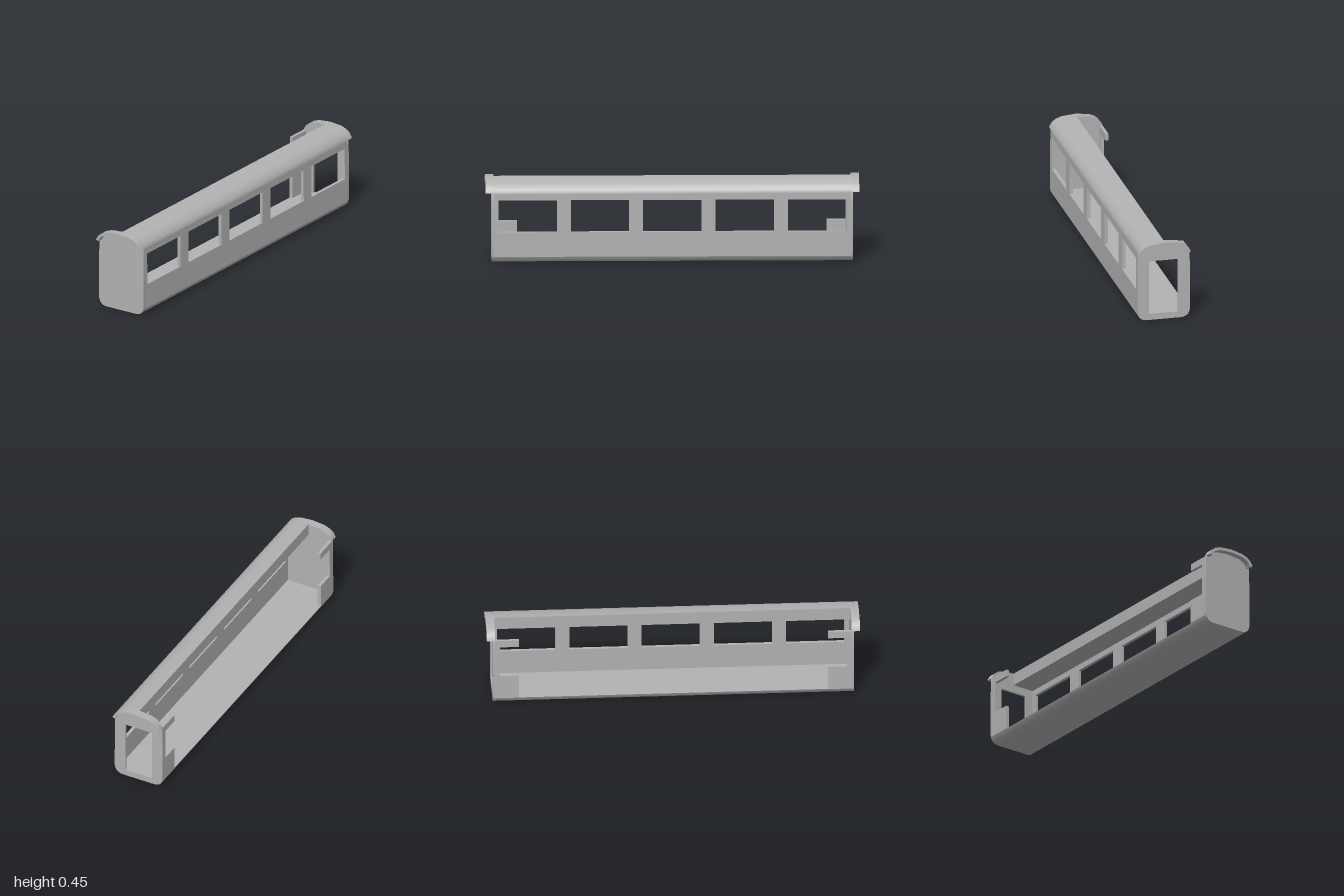
import * as THREE from 'three';
import { toCreasedNormals } from 'three/addons/utils/BufferGeometryUtils.js';

const END = 0.967, INNER = 0.955;      // outer and inner faces of the end walls
const FLOOR = 0.035, CEILING = 0.378;
const WALL = 0.02;

// Half profiles, listed from the side towards the centre line
const roofOuter = [[0.142, 0.384], [0.136, 0.398], [0.124, 0.414], [0.106, 0.428], [0.073, 0.44], [0, 0.447]];
const roofInner = [[0.125, 0.38], [0.118, 0.395], [0.104, 0.41], [0.073, 0.423], [0, 0.43]];
const bottomHalf = [[0.1, 0], [0.119, 0.005], [0.134, 0.016], [0.143, FLOOR]];

const mirror = (pts) => pts.map(([x, y]) => [-x, y]);
const arch = (half) => [...half, ...mirror(half.slice(0, -1)).reverse()];   // +x side over to -x
const makeShape = (pts) => new THREE.Shape(pts.map(([x, y]) => new THREE.Vector2(x, y)));

function rectHole(x0, x1, y0, y1) {
  const p = new THREE.Path();
  p.moveTo(x0, y0);
  p.lineTo(x0, y1);
  p.lineTo(x1, y1);
  p.lineTo(x1, y0);
  p.closePath();
  return p;
}

export function createModel() {
  const group = new THREE.Group();
  const grey = new THREE.MeshStandardMaterial({ color: 0xb2b2b2 });
  grey.name = 'bodyGrey';

  const add = (name, geometry) => {
    const mesh = new THREE.Mesh(toCreasedNormals(geometry, 0.6), grey);
    mesh.name = name;
    group.add(mesh);
  };
  const extrudeZ = (shape, z0, z1) => {
    const g = new THREE.ExtrudeGeometry(shape, { depth: z1 - z0, bevelEnabled: false });
    return g.translate(0, 0, z0);
  };
  // Side wall drawn in (z, y), its outer face leaning in slightly towards the top
  const sideWall = (shape, side) => {
    const g = new THREE.ExtrudeGeometry(shape, { depth: WALL, bevelEnabled: false });
    g.rotateY(Math.PI / 2);
    if (side < 0) g.translate(-WALL, 0, 0);
    const p = g.attributes.position;
    for (let i = 0; i < p.count; i++) {
      const outer = Math.abs(p.getX(i)) > WALL / 2;
      const lean = 0.145 - 0.003 * (p.getY(i) - FLOOR) / (CEILING - FLOOR);
      p.setX(i, side * (outer ? lean : 0.125));
    }
    return g;
  };

  // Floor with rounded lower edges
  add('floor', extrudeZ(makeShape([...bottomHalf, ...mirror(bottomHalf).reverse()]), -INNER, INNER));

  // Windowed side
  const wall = makeShape([[-INNER, FLOOR], [INNER, FLOOR], [INNER, 0.384], [-INNER, 0.384]]);
  for (let i = -2; i <= 2; i++) {
    const c = i * 0.387;
    wall.holes.push(rectHole(c - 0.156, c + 0.156, 0.17, 0.345));
  }
  add('windowWall', sideWall(wall, 1));

  // Cut-away side: a stub of wall around the first window at each end
  for (const s of [-1, 1]) {
    const pts = [[INNER, FLOOR], [INNER, 0.384], [0.828, 0.384], [0.828, 0.345],
      [0.93, 0.345], [0.93, 0.17], [0.828, 0.17], [0.828, FLOOR]];
    add(s < 0 ? 'frontWallStub' : 'backWallStub', sideWall(makeShape(pts.map(([z, y]) => [s * z, y])), -1));
  }

  // Half roof with flat ceiling
  add('roof', extrudeZ(makeShape([[0, CEILING], [0.142, CEILING], ...roofOuter]), -INNER, INNER));

  // End walls, the back one with a doorway
  const outline = [...bottomHalf, [0.145, 0.05], [0.144, 0.3], ...arch(roofOuter),
    [-0.144, 0.3], [-0.145, 0.05], ...mirror(bottomHalf).reverse()];
  add('frontWall', extrudeZ(makeShape(outline), INNER, END));
  const back = makeShape(outline);
  back.holes.push(rectHole(-0.08, 0.08, FLOOR, 0.335));
  add('backWall', extrudeZ(back, -END, -INNER));

  // Arched roof overhangs
  const lip = makeShape([...arch(roofOuter), ...arch(roofInner).reverse()]);
  add('frontOverhang', extrudeZ(lip, END, 1));
  add('backOverhang', extrudeZ(lip, -1, -END));

  return group;
}
